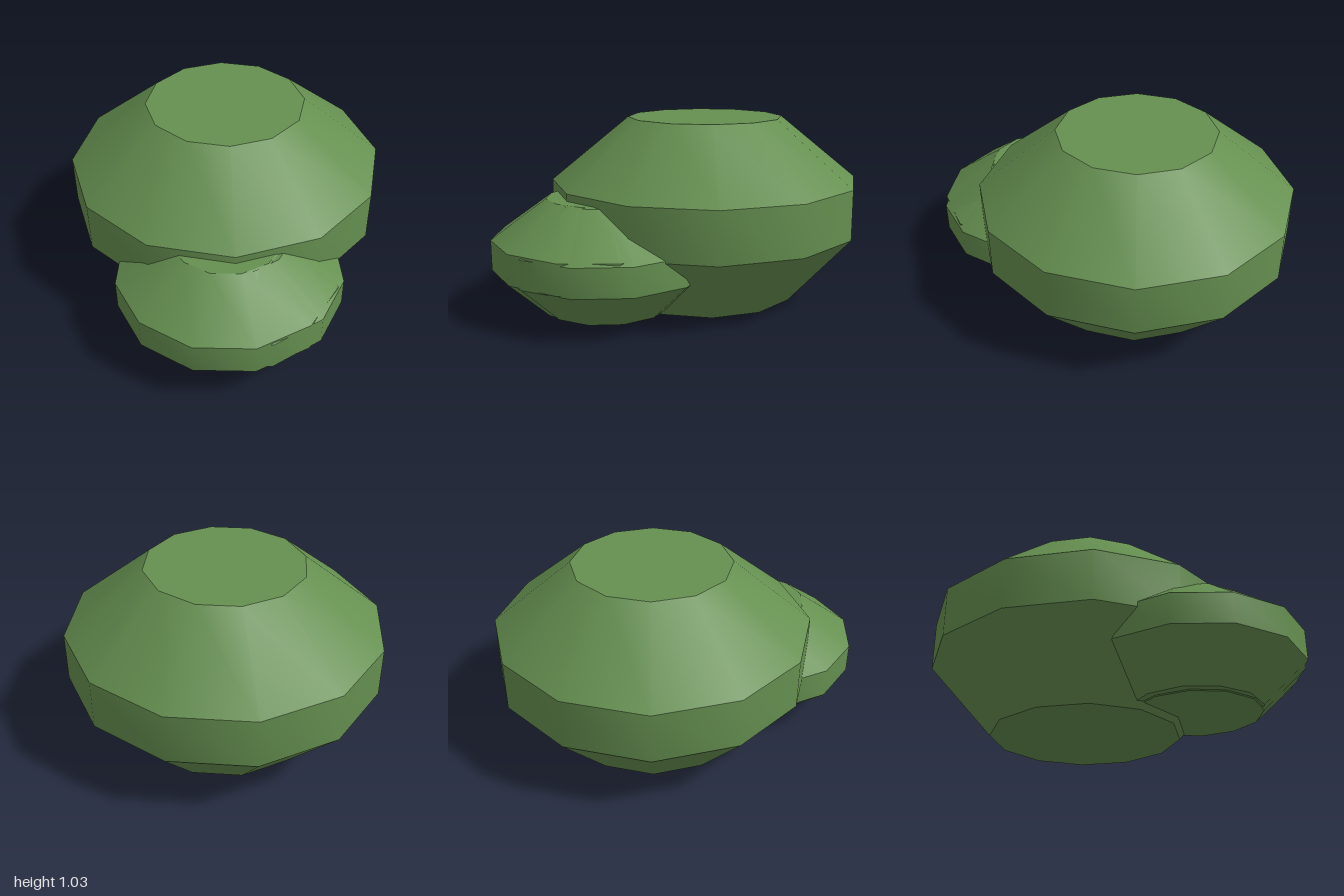
import * as THREE from 'three';
import { toCreasedNormals } from 'three/addons/utils/BufferGeometryUtils.js';

const leaf = new THREE.MeshStandardMaterial({ color: 0x658f50 });
leaf.name = 'leafGreen';

// Twelve-sided bush clump: narrow base, upright middle band, tapered flat top
function clump(name, x, z, radius, heights, turn) {
  const [base, low, high, top] = heights;
  const profile = [
    [0, base], [radius * 0.6, base], [radius, low],
    [radius, high], [radius * 0.5, top], [0, top],
  ].map(([r, y]) => new THREE.Vector2(r, y));
  // Smooth around each band, sharp between the bands
  const geometry = toCreasedNormals(new THREE.LatheGeometry(profile, 12), 0.6);
  const mesh = new THREE.Mesh(geometry, leaf);
  mesh.name = name;
  mesh.position.set(x, 0, z);
  mesh.rotation.y = THREE.MathUtils.degToRad(turn);
  return mesh;
}

export function createModel() {
  const bush = new THREE.Group();
  bush.name = 'bush';
  bush.add(
    clump('mainClump', 0.068, -0.12, 0.885, [0, 0.395, 0.675, 1.035], 23.5),
    // Two nearly coincident small clumps at the front right
    clump('smallClump', -0.351, 0.397, 0.6, [0.035, 0.257, 0.422, 0.635], 3.7),
    clump('smallClumpOverlap', -0.314, 0.416, 0.585, [0.03, 0.25, 0.407, 0.63], 8.5),
  );
  return bush;
}
